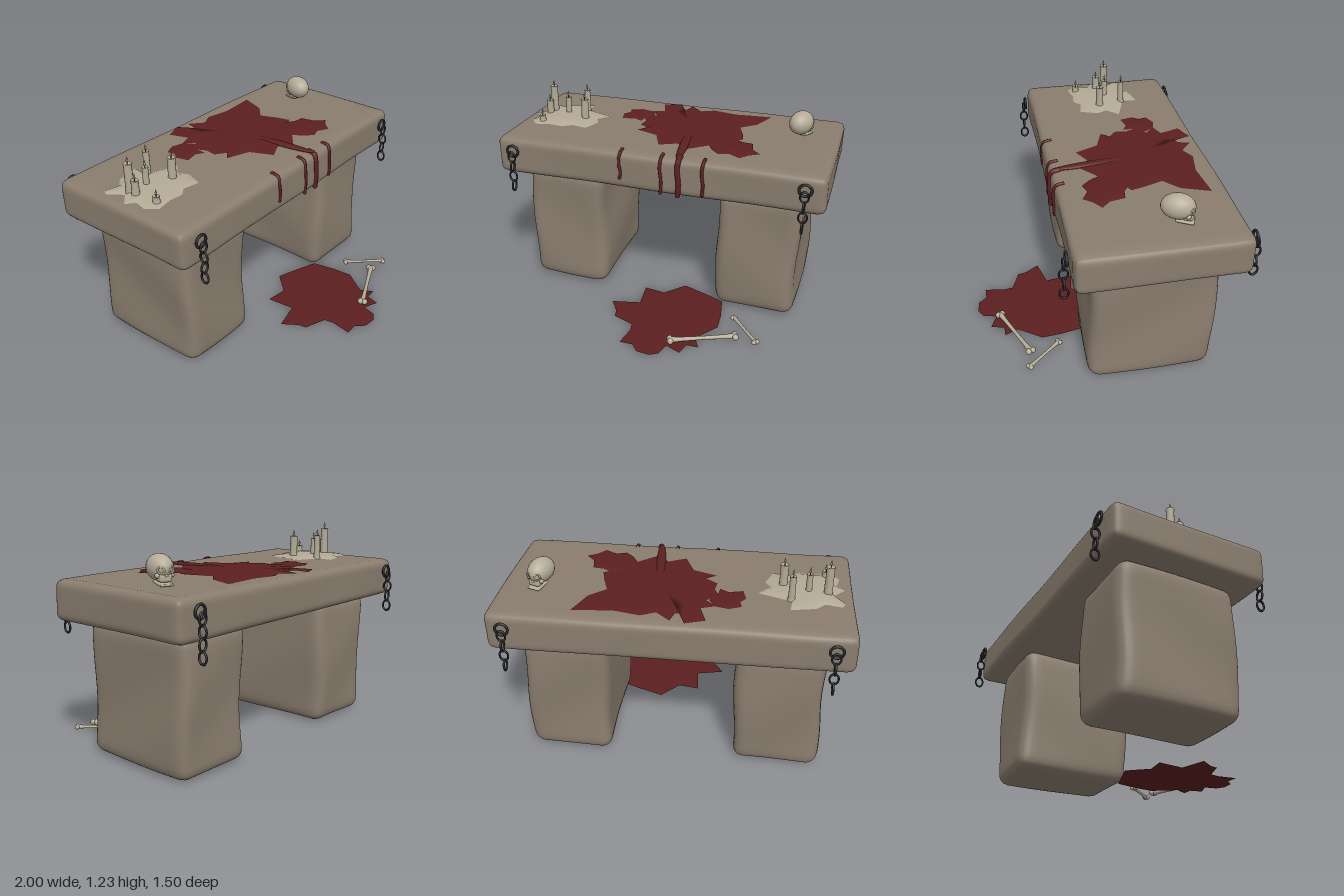
import * as THREE from 'three';
import { mergeVertices } from 'three/addons/utils/BufferGeometryUtils.js';

const mat = (name, color, side = THREE.FrontSide) => {
  const m = new THREE.MeshStandardMaterial({ color, side });
  m.name = name;
  return m;
};

export function createModel() {
  const stone = mat('stone', 0x8a7d6e);
  const blood = mat('dried blood', 0x5c1f21, THREE.DoubleSide);
  const wax = mat('wax', 0xb3aa96, THREE.DoubleSide);
  const bone = mat('bone', 0xb5ac98);
  const iron = mat('iron', 0x25262b);

  const root = new THREE.Group();
  root.name = 'stoneAltar';
  const add = (name, geometry, material, x = 0, y = 0, z = 0, parent = root) => {
    const m = new THREE.Mesh(geometry, material);
    m.name = name;
    m.position.set(x, y, z);
    parent.add(m);
    return m;
  };
  const group = (name, x = 0, y = 0, z = 0, parent = root) => {
    const g = new THREE.Group();
    g.name = name;
    g.position.set(x, y, z);
    parent.add(g);
    return g;
  };

  // Worn stone block: rounded box with gentle waves on its faces
  function block(w, h, d, r, wave, seed) {
    let g = new THREE.BoxGeometry(2, 2, 2, 20, 20, 20);
    g.deleteAttribute('uv');
    g.deleteAttribute('normal');
    g = mergeVertices(g);
    const p = g.attributes.position;
    const half = new THREE.Vector3(w / 2, h / 2, d / 2);
    const lim = half.clone().subScalar(r);
    const v = new THREE.Vector3(), inner = new THREE.Vector3();
    for (let i = 0; i < p.count; i++) {
      v.fromBufferAttribute(p, i);
      for (const a of ['x', 'y', 'z']) v[a] = Math.sin(v[a] * Math.PI / 2) * half[a];
      inner.copy(v).clamp(lim.clone().negate(), lim);
      v.sub(inner).setLength(r).add(inner);
      const { x, y, z } = v;
      v.x += wave * Math.sin(9 * y + 5 * z + seed);
      v.z += wave * Math.sin(8 * y + 6 * x + 2 * seed);
      v.y += wave * 0.4 * Math.sin(7 * x + 6 * z + seed);
      p.setXYZ(i, v.x, v.y, v.z);
    }
    g.computeVertexNormals();
    return g;
  }
  add('tableSlab', block(1.99, 0.23, 0.94, 0.045, 0.003, 1), stone, 0, 0.895, -0.22);
  add('rightLeg', block(0.5, 0.78, 0.72, 0.07, 0.009, 2), stone, -0.615, 0.4, -0.215);
  add('leftLeg', block(0.49, 0.78, 0.72, 0.07, 0.009, 4.5), stone, 0.605, 0.4, -0.215);

  // Puddle: an outline (clockwise from above) rising in rings to a centre
  function puddle(outline, y0, y1) {
    const n = outline.length, pos = [], idx = [];
    const cx = outline.reduce((s, p) => s + p[0], 0) / n;
    const cz = outline.reduce((s, p) => s + p[1], 0) / n;
    for (const [s, k] of [[1, 0], [0.85, 0.6], [0.5, 0.95]])
      for (const [x, z] of outline)
        pos.push(cx + (x - cx) * s, y0 + (y1 - y0) * k, cz + (z - cz) * s);
    pos.push(cx, y1, cz);
    for (let i = 0; i < n; i++) {
      const j = (i + 1) % n;
      for (let r = 0; r < 2; r++) {
        const a = r * n + i, b = r * n + j;
        idx.push(a, a + n, b, b, a + n, b + n);
      }
      idx.push(2 * n + i, 3 * n, 2 * n + j);
    }
    const g = new THREE.BufferGeometry();
    g.setAttribute('position', new THREE.Float32BufferAttribute(pos, 3));
    g.setIndex(idx);
    g.computeVertexNormals();
    return g;
  }
  const mainStain = [[-0.13, -0.53], [-0.03, -0.56], [-0.01, -0.63], [0.07, -0.56], [0.15, -0.6],
    [0.3, -0.57], [0.53, -0.59], [0.47, -0.43], [0.38, -0.35], [0.42, -0.24], [0.44, -0.16],
    [0.35, -0.11], [0.28, -0.02], [0.16, 0.08], [0.08, 0.02], [-0.02, 0.07], [-0.08, -0.07],
    [-0.22, -0.12], [-0.16, -0.16], [-0.23, -0.21], [-0.22, -0.28], [-0.26, -0.37], [-0.18, -0.4],
    [-0.24, -0.46], [-0.16, -0.49], [-0.2, -0.61], [-0.09, -0.65], [-0.18, -0.6]];
  const smallStain = [[-0.31, -0.48], [-0.23, -0.46], [-0.2, -0.4], [-0.24, -0.35], [-0.25, -0.27],
    [-0.3, -0.3], [-0.38, -0.28], [-0.4, -0.36], [-0.37, -0.4], [-0.38, -0.45]];
  const sideStain = [[0.28, -0.13], [0.38, -0.17], [0.44, -0.12], [0.51, -0.11], [0.53, -0.02],
    [0.58, 0.03], [0.52, 0.07], [0.48, 0.12], [0.41, 0.08], [0.35, 0.1], [0.3, 0.05], [0.26, -0.02]];
  const floorStain = [[-0.25, 0.31], [-0.08, 0.27], [-0.1, 0.1], [0.03, 0.12], [0.14, 0], [0.28, 0.05],
    [0.41, 0.1], [0.44, 0.25], [0.45, 0.37], [0.35, 0.51], [0.39, 0.59], [0.32, 0.59], [0.3, 0.67],
    [0.21, 0.63], [0.19, 0.71], [0.14, 0.74], [0.06, 0.73], [0.02, 0.68], [-0.06, 0.68],
    [-0.04, 0.56], [-0.05, 0.5], [-0.18, 0.45], [-0.19, 0.4]];
  add('mainBloodStain', puddle(mainStain, 1.013, 1.021), blood);
  add('smallBloodStain', puddle(smallStain, 1.013, 1.02), blood);
  add('sideBloodStain', puddle(sideStain, 1.014, 1.023), blood);
  add('floorBloodStain', puddle(floorStain, 0.008, 0.013), blood);

  // Streak across the top and drips down the front
  const streak = add('bloodStreak', new THREE.SphereGeometry(1, 16, 12), blood, 0.125, 1.014, 0.01);
  streak.scale.set(0.027, 0.014, 0.24);
  streak.rotation.y = 0.11;
  for (const [x, low, r] of [[-0.2, 0.84, 0.01], [0.05, 0.78, 0.01], [0.155, 0.78, 0.016], [0.3, 0.8, 0.01]]) {
    const path = new THREE.CatmullRomCurve3([[0, 1.012, 0.19], [0, 1.0, 0.238], [-0.004, 0.95, 0.252],
      [0.004, (0.95 + low) / 2, 0.252], [0, low + 0.01, 0.25]].map(([a, b, c]) => new THREE.Vector3(x + a, b, c)));
    add('bloodDrip', new THREE.TubeGeometry(path, 24, r, 8), blood);
    add('dripEnd', new THREE.SphereGeometry(r, 10, 8), blood, x, low + 0.01, 0.25);
  }

  // Melted wax with six candles
  const waxOutline = [[-0.64, -0.45], [-0.65, -0.36], [-0.46, -0.29], [-0.53, -0.22], [-0.5, -0.16],
    [-0.54, -0.05], [-0.64, -0.07], [-0.69, -0.03], [-0.77, -0.04], [-0.87, -0.02], [-0.92, -0.08],
    [-0.9, -0.16], [-0.95, -0.2], [-0.88, -0.27], [-0.94, -0.35], [-0.92, -0.39], [-0.83, -0.37], [-0.78, -0.42]];
  add('waxPool', puddle(waxOutline, 1.012, 1.03), wax);
  for (const [x, z, top, r] of [[-0.845, -0.265, 1.19, 0.024], [-0.853, -0.212, 1.11, 0.022], [-0.74, -0.25, 1.13, 0.018],
    [-0.645, -0.34, 1.16, 0.019], [-0.6, -0.19, 1.15, 0.024], [-0.84, -0.07, 1.06, 0.02]]) {
    const candle = group('candle', x, 1.01, z);
    const h = top - 1.01;
    const profile = [[r * 1.3, 0], [r, 0.02], [r * 0.95, h - 0.012], [r * 1.05, h - 0.005], [r * 0.9, h],
      [r * 0.65, h - 0.006], [0, h - 0.008]].map(([a, b]) => new THREE.Vector2(a, b));
    add('candleBody', new THREE.LatheGeometry(profile, 14), wax, 0, 0, 0, candle);
    add('wick', new THREE.CylinderGeometry(0.002, 0.002, 0.02, 6), iron, 0, h, 0, candle);
    const flame = [[0, 0], [0.007, 0.01], [0.004, 0.022], [0, 0.037]].map(([a, b]) => new THREE.Vector2(a, b));
    add('flame', new THREE.LatheGeometry(flame, 8), wax, 0, h + 0.005, 0, candle);
  }

  // Skull, looking towards the back
  const skull = group('skull', 0.757, 1.015, -0.325);
  skull.rotation.y = Math.PI - 0.35;
  add('cranium', new THREE.SphereGeometry(1, 24, 18), bone, 0, 0.085, 0, skull).scale.set(0.067, 0.07, 0.092);
  add('upperJaw', block(0.07, 0.045, 0.055, 0.015, 0, 0), bone, 0, 0.038, 0.055, skull);
  add('lowerJaw', block(0.075, 0.014, 0.1, 0.006, 0, 0), bone, 0, 0.009, 0.04, skull).rotation.x = 0.12;
  for (const s of [-1, 1]) {
    const eye = add('eyeSocket', new THREE.TorusGeometry(0.017, 0.005, 8, 18), bone, s * 0.029, 0.078, 0.079, skull);
    eye.rotation.y = s * 0.5;
    add('cheek', new THREE.SphereGeometry(0.014, 10, 8), bone, s * 0.04, 0.05, 0.058, skull);
  }
  const nose = add('noseRidge', new THREE.ConeGeometry(0.009, 0.026, 8), bone, 0, 0.06, 0.084, skull);
  nose.scale.z = 0.6;

  // Loose bones on the floor, each a shaft with two knobs at either end
  for (const [x0, z0, x1, z1, r] of [[0.225, 0.605, 0.575, 0.455, 0.013], [0.53, 0.28, 0.7, 0.475, 0.01]]) {
    const len = Math.hypot(x1 - x0, z1 - z0);
    const g = group('looseBone', (x0 + x1) / 2, 0.035, (z0 + z1) / 2);
    g.rotation.y = -Math.atan2(z1 - z0, x1 - x0);
    const pts = [[r * 1.4, -len / 2], [r, -len / 3], [r * 0.85, 0], [r, len / 3], [r * 1.4, len / 2]];
    const shaft = new THREE.LatheGeometry(pts.map(([a, b]) => new THREE.Vector2(a, b)), 12);
    add('boneShaft', shaft, bone, 0, 0, 0, g).rotation.z = -Math.PI / 2;
    for (const s of [-1, 1]) for (const t of [-1, 1])
      add('boneKnob', new THREE.SphereGeometry(r * 1.45, 12, 9), bone, s * len / 2, 0, t * r, g);
  }

  // Hanging chains at the four corners, links alternating in direction
  for (const sx of [-1, 1]) for (const [z, sz] of [[0.25, 1], [-0.69, -1]]) {
    const chain = group('chain', sx * 0.88, 0, z);
    add('wallRing', new THREE.TorusGeometry(0.035, 0.008, 8, 20), iron, 0, 0.94, sz * 0.025, chain);
    [0.908, 0.845, 0.783, 0.72].forEach((y, i) => {
      const link = add('chainLink', new THREE.TorusGeometry(0.029, 0.0065, 8, 18), iron, 0, y, sz * 0.04, chain);
      link.scale.set(0.82, 1.1, 1);
      link.rotation.y = i % 2 ? Math.PI / 2 : 0;
    });
  }
  return root;
}
